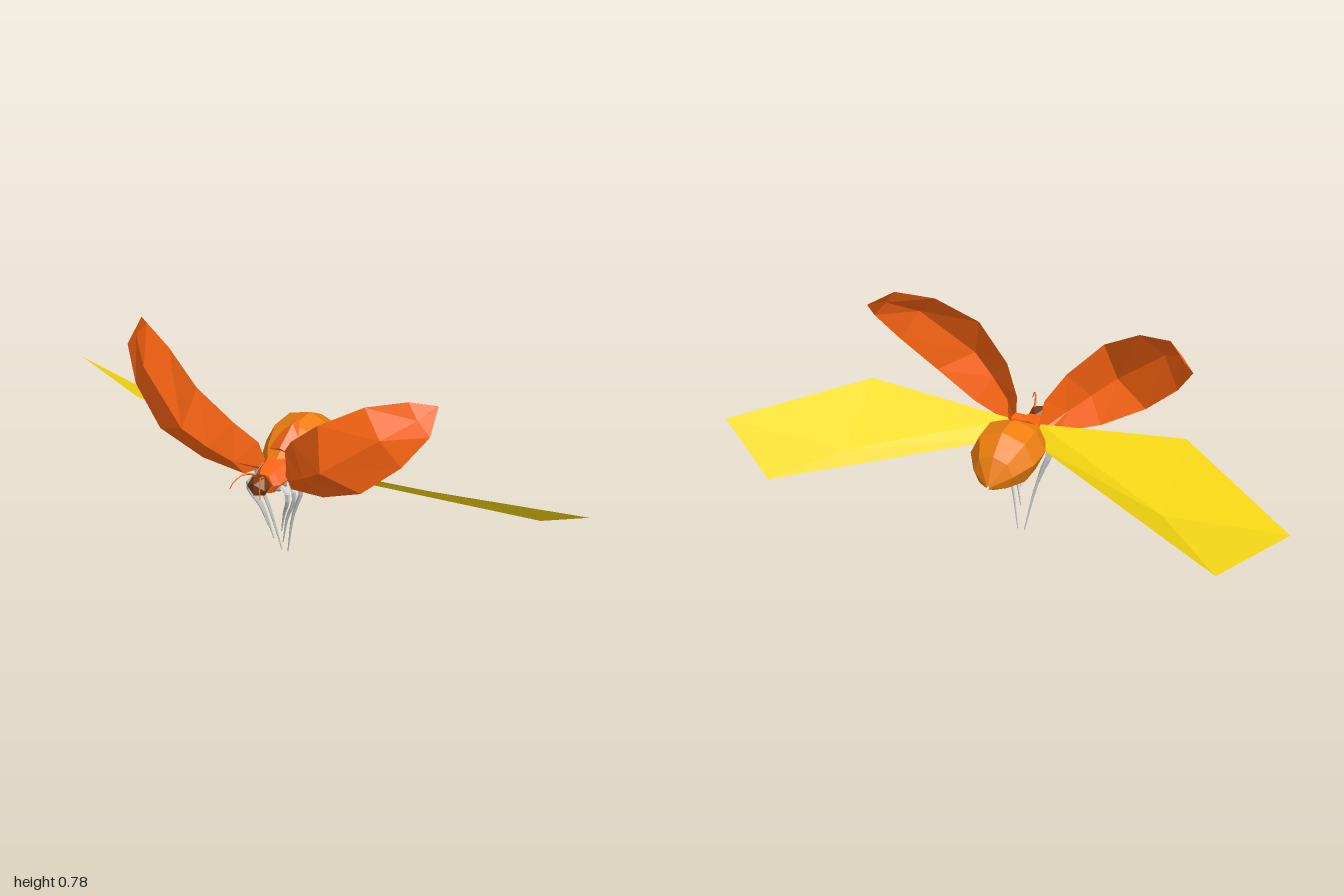
import * as THREE from 'three';
import { ConvexGeometry } from 'three/addons/geometries/ConvexGeometry.js';

const material = (color, side = THREE.FrontSide) =>
  new THREE.MeshStandardMaterial({ color, side, flatShading: true });

const orange = material(0xff6612);
const shellOrange = material(0xff6612, THREE.DoubleSide);
const amber = material(0xf08010);
const yellow = material(0xffde10, THREE.DoubleSide);
const brown = material(0x7a3a14);
const grey = material(0xcccccc);

function mesh(name, geometry, mat) {
  const m = new THREE.Mesh(geometry, mat);
  m.name = name;
  return m;
}

// Flat-shaded surface from points and triangles
function facets(points, index) {
  const indexed = new THREE.BufferGeometry();
  indexed.setAttribute('position', new THREE.Float32BufferAttribute(points.flat(), 3));
  indexed.setIndex(index);
  const g = indexed.toNonIndexed();
  g.computeVertexNormals();
  return g;
}

// Skin across rows of points; wrap joins each row into a ring
function skin(rows, wrap) {
  const n = rows[0].length;
  const index = [];
  for (let i = 0; i < rows.length - 1; i++) {
    for (let j = 0; j < (wrap ? n : n - 1); j++) {
      const k = (j + 1) % n;
      const a = i * n + j, b = i * n + k, c = a + n, d = b + n;
      index.push(a, b, d, a, d, c);
    }
  }
  return facets(rows.flat(), index);
}

// Elliptic cross-section facing z
function ring([z, y, rx, ry], sides = 8) {
  return Array.from({ length: sides }, (_, i) => {
    const a = (i / sides) * Math.PI * 2;
    return [rx * Math.cos(a), y + ry * Math.sin(a), z];
  });
}

// Tube along a path that thins towards its end
function taperedTube(points, r0, r1, segments, sides) {
  const curve = new THREE.CatmullRomCurve3(points.map(p => new THREE.Vector3(...p)));
  const g = new THREE.TubeGeometry(curve, segments, r0, sides);
  const pos = g.attributes.position;
  const v = new THREE.Vector3();
  for (let i = 0; i < pos.count; i++) {
    const t = Math.floor(i / (sides + 1)) / segments;
    const centre = curve.getPointAt(t);
    v.fromBufferAttribute(pos, i).sub(centre).multiplyScalar(1 + (r1 / r0 - 1) * t).add(centre);
    pos.setXYZ(i, v.x, v.y, v.z);
  }
  g.computeVertexNormals();
  return g;
}

const mirror = (points, s) => points.map(([x, y, z]) => [x * s, y, z]);

// Raised wing case: upper edge, rib and lower edge at each station from root to tip
const caseRows = [
  [[0.04, 0.39, 0.10], [0.05, 0.37, 0.12], [0.06, 0.355, 0.11]],
  [[0.05, 0.47, 0.125], [0.11, 0.41, 0.19], [0.09, 0.348, 0.15]],
  [[0.107, 0.555, 0.18], [0.18, 0.465, 0.23], [0.23, 0.385, 0.185]],
  [[0.225, 0.673, 0.217], [0.26, 0.53, 0.262], [0.38, 0.465, 0.21]],
  [[0.364, 0.758, 0.167], [0.44, 0.68, 0.205], [0.50, 0.58, 0.17]],
  [[0.487, 0.786, 0.11], [0.525, 0.735, 0.12], [0.567, 0.684, 0.113]],
  [[0.555, 0.757, 0.043], [0.556, 0.755, 0.043], [0.557, 0.753, 0.043]],
];

// Flight wing: raised inner point followed by the outline
const wingPoints = [
  [0.565, 0.30, -0.155],
  [0.05, 0.40, 0.09], [0.565, 0.46, 0.077], [0.995, 0.35, -0.195],
  [0.79, 0.207, -0.29], [0.05, 0.35, 0.04],
];

// Legs from hip to foot: front, middle, rear
const legPaths = [
  [[0.03, 0.325, 0.14], [0.065, 0.34, 0.15], [0.075, 0.30, 0.15], [0.045, 0.215, 0.122], [0.025, 0.13, 0.104]],
  [[0.03, 0.325, 0.105], [0.07, 0.34, 0.12], [0.08, 0.28, 0.115], [0.045, 0.19, 0.10], [0.018, 0.07, 0.083]],
  [[0.03, 0.335, 0.075], [0.075, 0.36, 0.088], [0.085, 0.30, 0.076], [0.045, 0.17, 0.064], [0.012, 0.002, 0.041]],
];

const antennaPath = [[0.015, 0.395, 0.20], [0.022, 0.416, 0.23], [0.035, 0.42, 0.255], [0.05, 0.402, 0.283], [0.058, 0.38, 0.292]];

export function createModel() {
  const group = new THREE.Group();
  group.name = 'beetle';

  // Abdomen
  const abdomen = [
    [-0.248, 0.328, 0.005, 0.005], [-0.203, 0.357, 0.07, 0.062], [-0.125, 0.371, 0.113, 0.099],
    [-0.03, 0.371, 0.115, 0.102], [0.05, 0.362, 0.085, 0.073], [0.10, 0.36, 0.045, 0.04], [0.10, 0.36, 0, 0],
  ];
  group.add(mesh('abdomen', skin(abdomen.map(r => ring(r)), true), amber));

  // Thorax, stepped down towards the head
  const thorax = [
    [0.04, 0.36, 0, 0], [0.04, 0.36, 0.06, 0.06], [0.10, 0.355, 0.06, 0.055],
    [0.15, 0.352, 0.05, 0.045], [0.172, 0.352, 0.035, 0.038], [0.172, 0.352, 0, 0],
  ];
  group.add(mesh('thorax', skin(thorax.map(r => ring(r, 6)), true), orange));

  // Pointed shield behind the thorax
  const shield = [
    [0, 0.485, -0.05], [0, 0.468, -0.05], [0, 0.486, -0.01], [0, 0.435, 0.075],
    [0.05, 0.41, 0.06], [-0.05, 0.41, 0.06], [0.035, 0.45, 0.01], [-0.035, 0.45, 0.01],
  ];
  group.add(mesh('shield', new ConvexGeometry(shield.map(p => new THREE.Vector3(...p))), orange));

  // Head
  const head = mesh('head', new THREE.IcosahedronGeometry(0.04, 0), brown);
  head.position.set(0, 0.364, 0.204);
  group.add(head);

  for (const [s, side] of [[1, 'left'], [-1, 'right']]) {
    // Wing case and flight wing
    group.add(mesh(`${side}WingCase`, skin(caseRows.map(row => {
      const points = mirror(row, s);
      return s > 0 ? points : points.reverse();
    }), false), shellOrange));

    const fan = [];
    for (let i = 1; i <= 5; i++) {
      const next = (i % 5) + 1;
      fan.push(0, ...(s > 0 ? [next, i] : [i, next]));
    }
    group.add(mesh(`${side}FlightWing`, facets(mirror(wingPoints, s), fan), yellow));

    // Antenna
    group.add(mesh(`${side}Antenna`, taperedTube(mirror(antennaPath, s), 0.004, 0.0015, 6, 4), orange));

    // Legs
    legPaths.forEach((path, i) => {
      const name = `${side}${['Front', 'Middle', 'Rear'][i]}Leg`;
      group.add(mesh(name, taperedTube(mirror(path, s), 0.011, 0.002, 9, 5), grey));
    });
  }
  return group;
}
